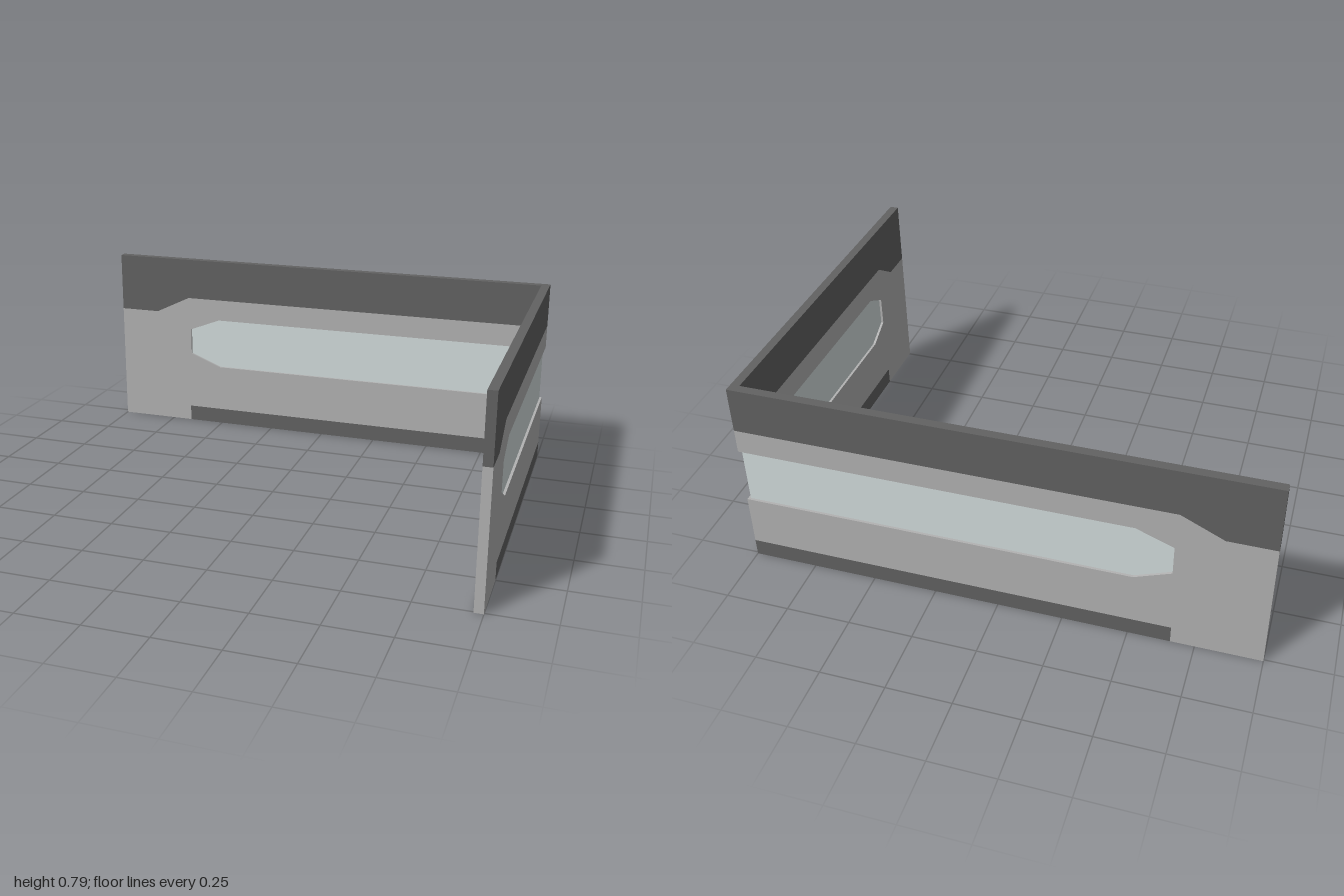
import * as THREE from 'three';

const THICK = 0.035, RECESS = 0.01, DEPTH = 1.514;

const material = (color) => new THREE.MeshStandardMaterial({ color, flatShading: true });

// Extrudes an outline of [distance from the free end, height] points
function slab(name, points, thickness, offset, mat) {
  const shape = new THREE.Shape(points.map(([s, y]) => new THREE.Vector2(s, y)));
  const geometry = new THREE.ExtrudeGeometry(shape, { depth: thickness, bevelEnabled: false });
  const mesh = new THREE.Mesh(geometry, mat);
  mesh.name = name;
  mesh.position.z = offset;
  return mesh;
}

// One wall: k stretches the outline lengthwise, end and glassEnd are where it stops at the corner
function createWall(name, k, end, glassEnd, mats) {
  const wall = new THREE.Group();
  wall.name = name;
  const notch = [[0.49, 0.28], [0.35, 0.335], [0.35, 0.455], [0.49, 0.51]].map(([s, y]) => [s * k, y]);
  const kinkA = [0.18 * k, 0.53], kinkB = [0.34 * k, 0.607], sill = 0.34 * k;

  // Main panel, wrapped around the window opening
  wall.add(slab('panel', [
    [0, 0], [sill, 0], [sill, 0.07], [end, 0.07], [end, 0.28], ...notch,
    [end, 0.51], [end, 0.607], kinkB, kinkA, [0, 0.53],
  ], THICK, 0, mats.panel));
  // Dark band along the top and dark strip along the ground
  wall.add(slab('topBand', [[0, 0.53], kinkA, kinkB, [end, 0.607], [end, 0.79], [0, 0.79]], THICK, 0, mats.trim));
  wall.add(slab('baseStrip', [[sill, 0], [end, 0], [end, 0.07], [sill, 0.07]], THICK, 0, mats.trim));
  // Recessed window running to the corner
  wall.add(slab('window', [[glassEnd, 0.28], ...notch, [glassEnd, 0.51]].reverse(),
    THICK - 2 * RECESS, RECESS, mats.glass));
  return wall;
}

export function createModel() {
  const model = new THREE.Group();
  model.name = 'cornerWall';
  const mats = { panel: material(0xb2b2b2), trim: material(0x626262), glass: material(0xd3dddd) };

  const back = createWall('backWall', 1, 2, 2 - RECESS, mats);
  back.position.set(-1, 0, -DEPTH / 2);

  const side = createWall('sideWall', DEPTH / 2, DEPTH - THICK, DEPTH - THICK + RECESS, mats);
  side.rotation.y = Math.PI / 2;
  side.position.set(1 - THICK, 0, DEPTH / 2);

  model.add(back, side);
  return model;
}
